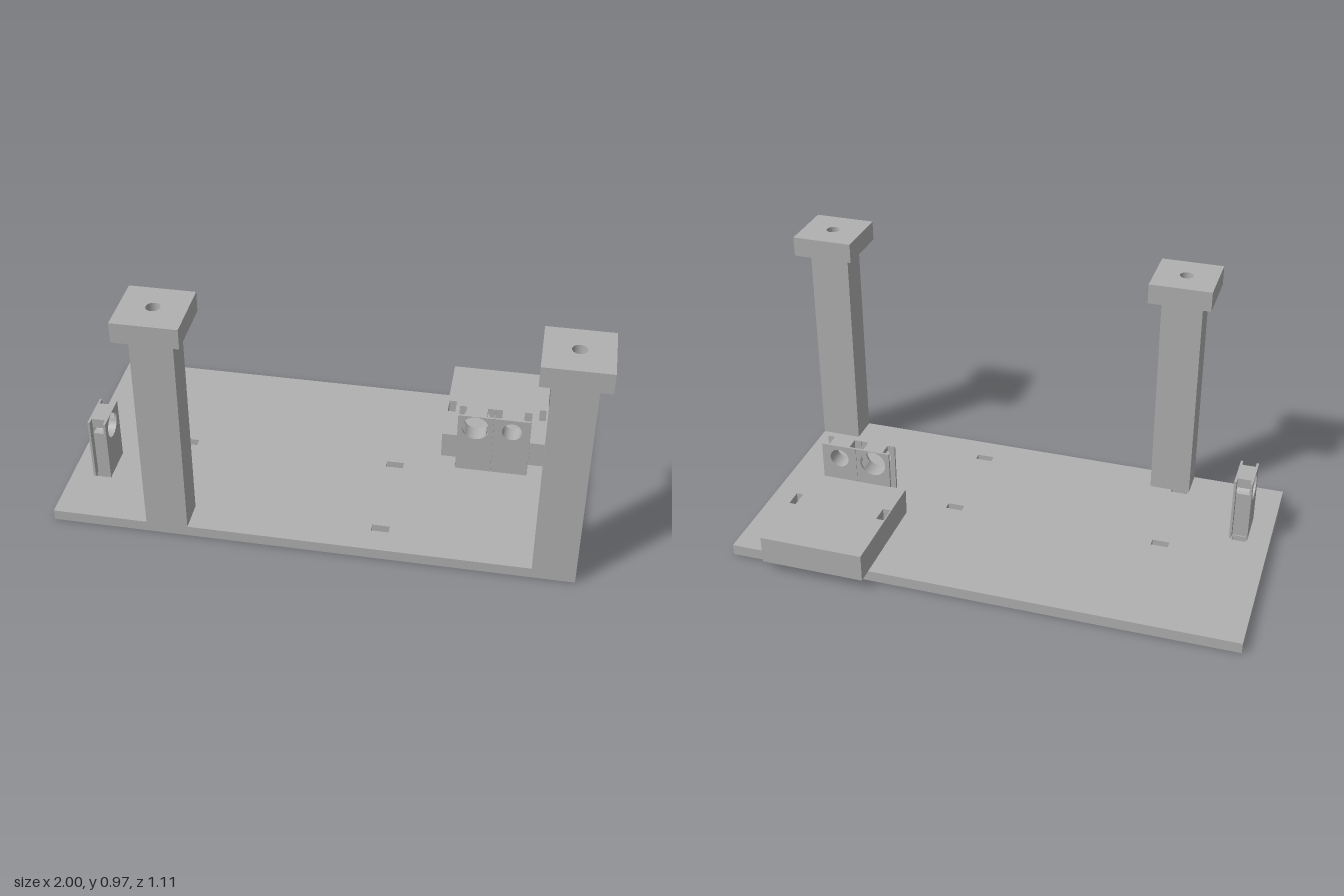
import * as THREE from 'three';

const grey = new THREE.MeshStandardMaterial({ color: 0xb0b0b0 });
grey.name = 'light grey';

function add(parent, geometry, name) {
  const mesh = new THREE.Mesh(geometry, grey);
  mesh.name = name;
  parent.add(mesh);
  return mesh;
}

// closed rectangle path from two corners
function rect(Type, x0, y0, x1, y1) {
  const p = new Type();
  p.moveTo(x0, y0);
  p.lineTo(x1, y0);
  p.lineTo(x1, y1);
  p.lineTo(x0, y1);
  p.closePath();
  return p;
}

function circle(x, y, r) {
  return new THREE.Path().absarc(x, y, r, 0, Math.PI * 2, true);
}

function extrude(shape, depth) {
  return new THREE.ExtrudeGeometry(shape, { depth, bevelEnabled: false, curveSegments: 24 });
}

// horizontal plate with holes; rectangles are [x0, z0, x1, z1]
function slab([x0, z0, x1, z1], y, height, slots = [], rounds = []) {
  const shape = rect(THREE.Shape, x0, -z1, x1, -z0);
  for (const [a, b, c, d] of slots) shape.holes.push(rect(THREE.Path, a, -d, c, -b));
  for (const [x, z, r] of rounds) shape.holes.push(circle(x, -z, r));
  return extrude(shape, height).rotateX(-Math.PI / 2).translate(0, y, 0);
}

const FLOOR = 0.042, TOP = 0.3, HOLE_Y = 0.246;

// H-section holder: two thin face plates, a narrower core, one bore through all
function holder(name, width, coreWidth, r) {
  const group = new THREE.Group();
  group.name = name;
  const thick = 0.07, skin = 0.009, w = width / 2, c = coreWidth / 2;
  for (const z of [-thick / 2, thick / 2 - skin]) {
    const face = rect(THREE.Shape, -w, FLOOR, w, TOP);
    face.holes.push(circle(0, HOLE_Y, r));
    add(group, extrude(face, skin).translate(0, 0, z), 'holderFace');
  }
  const core = [];
  if (r < c) {
    const s = rect(THREE.Shape, -c, FLOOR, c, TOP);
    s.holes.push(circle(0, HOLE_Y, r));
    core.push(s);
  } else {
    // the bore is wider than the core and splits it in two
    const a = Math.acos(c / r), dy = r * Math.sin(a);
    const low = new THREE.Shape();
    low.moveTo(-c, FLOOR);
    low.lineTo(c, FLOOR);
    low.lineTo(c, HOLE_Y - dy);
    low.absarc(0, HOLE_Y, r, -a, -Math.PI + a, true);
    low.closePath();
    const high = new THREE.Shape();
    high.moveTo(c, TOP);
    high.lineTo(-c, TOP);
    high.lineTo(-c, HOLE_Y + dy);
    high.absarc(0, HOLE_Y, r, Math.PI - a, a, true);
    high.closePath();
    core.push(low, high);
  }
  for (const s of core) {
    add(group, extrude(s, thick - 2 * skin).translate(0, 0, skin - thick / 2), 'holderCore');
  }
  return group;
}

export function createModel() {
  const model = new THREE.Group();
  model.name = 'mountingPlate';

  // base plate with cable slots
  const traySlots = [[0.406, -0.312, 0.436, -0.243], [0.77, -0.312, 0.796, -0.243]];
  const slots = [
    ...traySlots,
    [0.462, -0.088, 0.49, -0.033], [0.572, -0.088, 0.63, -0.033], [0.714, -0.088, 0.744, -0.033],
    [-0.911, 0.107, -0.857, 0.138], [-0.911, 0.24, -0.857, 0.27],
  ];
  for (const x of [-0.6, 0.23]) {
    for (const z of [0, 0.378]) slots.push([x - 0.033, z - 0.016, x + 0.033, z + 0.016]);
  }
  add(model, slab([-1, -0.495, 0.957, 0.495], 0, FLOOR, slots), 'basePlate');

  // tray overhanging the rear edge
  add(model, slab([0.401, -0.555, 0.802, -0.092], FLOOR, 0.108, traySlots), 'tray');

  // two posts with drilled caps
  for (const x of [-0.558, 0.878]) {
    add(model, slab([x - 0.079, 0.377, x + 0.079, 0.495], FLOOR, 0.85), 'post');
    add(model, slab([x - 0.12, 0.315, x + 0.12, 0.555], 0.892, 0.078, [], [[x, 0.433, 0.026]]), 'postCap');
  }

  // pair of holders in front of the tray
  const wide = holder('wideBoreHolder', 0.137, 0.081, 0.052);
  wide.position.set(0.533, 0, -0.06);
  const narrow = holder('narrowBoreHolder', 0.141, 0.084, 0.038);
  narrow.position.set(0.673, 0, -0.06);

  // single holder turned sideways at the far end
  const side = holder('sideHolder', 0.154, 0.1, 0.052);
  side.position.set(-0.88, 0, 0.193);
  side.rotation.y = Math.PI / 2;
  model.add(wide, narrow, side);

  return model;
}
